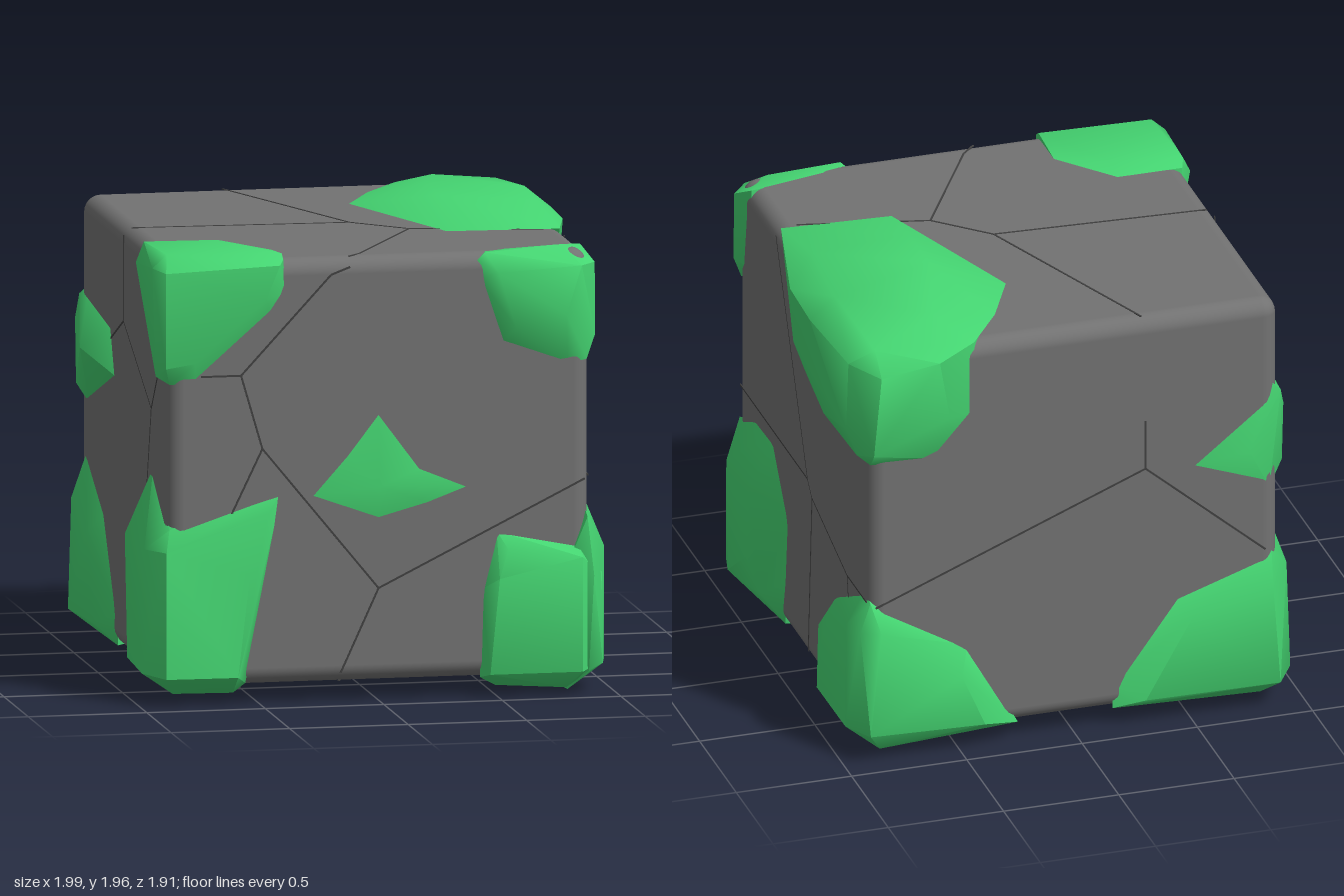
import * as THREE from 'three';
import { toCreasedNormals } from 'three/addons/utils/BufferGeometryUtils.js';
import { RoundedBoxGeometry } from 'three/addons/geometries/RoundedBoxGeometry.js';
import { ConvexGeometry } from 'three/addons/geometries/ConvexGeometry.js';

const stone = new THREE.MeshStandardMaterial({ color: 0x727272 });
stone.name = 'grey stone';
const moss = new THREE.MeshStandardMaterial({ color: 0x45d672 });
moss.name = 'green moss';
const dark = new THREE.MeshStandardMaterial({ color: 0x404040 });
dark.name = 'dark crack';

const SIZE = 1.78, HALF = SIZE / 2, MID = 0.97;

function addMesh(parent, name, geometry, material) {
  const mesh = new THREE.Mesh(geometry, material);
  mesh.name = name;
  parent.add(mesh);
  return mesh;
}

// A moss clump is a convex lump whose rim sinks just below the stone surface
function clump(parent, name, points) {
  const hull = new ConvexGeometry(points.map((p) => new THREE.Vector3(...p)));
  addMesh(parent, name, toCreasedNormals(hull, 0.9), moss);
}

// Cracks: thin strips along polylines, drawn in the plane of one cube face
function cracks(parent, name, rx, ry, lines) {
  const face = new THREE.Group();
  face.name = name;
  face.position.y = MID;
  face.rotation.set(rx, ry, 0);
  for (const line of lines) {
    for (let i = 1; i < line.length; i++) {
      const [ax, ay] = line[i - 1], [bx, by] = line[i];
      const strip = addMesh(face, 'crack',
        new THREE.BoxGeometry(Math.hypot(bx - ax, by - ay), 0.008, 0.004), dark);
      strip.position.set((ax + bx) / 2, (ay + by) / 2, HALF);
      strip.rotation.z = Math.atan2(by - ay, bx - ax);
    }
  }
  parent.add(face);
}

// Low pointed moss patch: a fan from a raised centre to the rim
function mossFan(parent, name, rim, centre) {
  const positions = [];
  rim.forEach((p, i) => {
    const q = rim[(i + 1) % rim.length];
    positions.push(...centre, ...p, 0.885, ...q, 0.885);
  });
  const g = new THREE.BufferGeometry();
  g.setAttribute('position', new THREE.Float32BufferAttribute(positions, 3));
  addMesh(parent, name, toCreasedNormals(g, 0.9), moss);
}

export function createModel() {
  const model = new THREE.Group();
  model.name = 'mossyStoneBlock';

  const block = addMesh(model, 'stoneBlock', new RoundedBoxGeometry(SIZE, SIZE, SIZE, 4, 0.07), stone);
  block.position.y = MID;

  // Cracks on every face
  const q = Math.PI / 2;
  cracks(model, 'frontCracks', 0, 0, [
    [[0.87, -0.07], [0, -0.5], [-0.16, -0.85]],
    [[0, -0.5], [-0.49, 0.1], [-0.58, 0.41], [-0.75, 0.41]],
    [[-0.58, 0.41], [-0.2, 0.82], [-0.12, 0.85]],
    [[-0.49, 0.1], [-0.62, -0.17]]]);
  cracks(model, 'leftCracks', 0, q, [
    [[-0.86, -0.06], [0.06, -0.06], [-0.37, 0.86]],
    [[0.06, -0.06], [0.12, -0.12], [0.07, -0.85]],
    [[0.12, -0.12], [0.6, -0.25], [0.86, -0.25]],
    [[0.6, -0.25], [0.62, -0.37]]]);
  cracks(model, 'rightCracks', 0, -q, [
    [[-0.01, 0.86], [-0.01, 0.5], [0.56, 0.23], [0.8, 0.52]],
    [[-0.01, 0.5], [-0.42, 0.32]],
    [[0.56, 0.23], [0.46, -0.14]]]);
  cracks(model, 'backCracks', 0, 2 * q, [
    [[-0.86, -0.27], [0.31, 0.2], [0.83, -0.25]],
    [[0.31, 0.2], [0.31, 0.42]]]);
  cracks(model, 'topCracks', -q, 0, [
    [[-0.86, 0], [0.05, -0.05], [-0.3, 0.86]],
    [[0.05, -0.05], [0.26, -0.25], [-0.06, -0.8], [-0.12, -0.86]],
    [[0.26, -0.25], [0.8, -0.38]]]);
  cracks(model, 'bottomCracks', q, 0, [
    [[-0.16, 0.85], [0.1, 0.1], [0.86, 0.07]],
    [[0.1, 0.1], [-0.3, -0.3], [-0.86, -0.1]]]);

  // Top corners
  clump(model, 'topFrontRightMoss', [
    [-0.4, 1.86, 0.88], [-0.39, 1.72, 0.88], [-0.45, 1.63, 0.88], [-0.77, 1.35, 0.88], [-0.88, 1.35, 0.88],
    [-0.42, 1.84, 0.915], [-0.48, 1.7, 0.92], [-0.78, 1.44, 0.92], [-0.9, 1.42, 0.91], [-0.9, 1.82, 0.91],
    [-0.93, 1.38, 0.84], [-0.94, 1.83, 0.82], [-0.94, 1.8, 0.48], [-0.88, 1.6, 0.42],
    [-0.4, 1.88, 0.85], [-0.4, 1.86, 0.64], [-0.6, 1.86, 0.4], [-0.88, 1.86, 0.4],
    [-0.6, 1.885, 0.5], [-0.9, 1.88, 0.45], [-0.88, 1.885, 0.82]]);
  clump(model, 'topBackLeftMoss', [
    [0.43, 1.86, -0.88], [0.27, 1.86, -0.66], [0.14, 1.86, -0.4], [0.33, 1.86, -0.03], [0.4, 1.86, 0.34],
    [0.87, 1.86, 0.37], [0.44, 1.95, -0.02], [0.44, 1.955, -0.3], [0.55, 1.92, -0.7], [0.85, 1.92, 0],
    [0.88, 1.91, -0.4], [0.85, 1.87, -0.85], [0.98, 1.82, -0.1], [0.99, 1.82, -0.4], [0.95, 1.8, -0.8],
    [0.6, 1.82, -0.95], [0.85, 1.78, -0.94],
    [0.88, 1.65, 0.25], [0.88, 1.37, 0], [0.88, 1.355, -0.4], [0.88, 1.36, -0.88],
    [0.95, 1.55, -0.05], [0.96, 1.5, -0.8], [0.93, 1.38, -0.4], [0.93, 1.4, -0.85], [0.88, 1.42, -0.93],
    [0.43, 1.54, -0.88], [0.6, 1.35, -0.88], [0.55, 1.55, -0.93]]);
  clump(model, 'topFrontLeftMoss', [
    [0.42, 1.83, 0.88], [0.43, 1.75, 0.88], [0.52, 1.48, 0.88], [0.8, 1.38, 0.88], [0.88, 1.4, 0.88],
    [0.45, 1.86, 0.88], [0.47, 1.855, 0.8], [0.88, 1.86, 0.74], [0.88, 1.8, 0.74], [0.88, 1.48, 0.79],
    [0.5, 1.78, 0.93], [0.57, 1.55, 0.95], [0.78, 1.6, 0.96], [0.85, 1.8, 0.93],
    [0.92, 1.8, 0.85], [0.92, 1.5, 0.86], [0.78, 1.875, 0.83]]);

  // Bottom corners; the front left one is two lumps with a notch between
  clump(model, 'bottomFrontLeftMossFront', [
    [0.43, 0.08, 0.88], [0.44, 0.45, 0.88], [0.5, 0.69, 0.88], [0.85, 0.62, 0.88],
    [0.46, 0.1, 0.95], [0.5, 0.5, 0.95], [0.54, 0.62, 0.93], [0.85, 0.58, 0.95], [0.85, 0.1, 0.95],
    [0.5, 0.04, 0.85], [0.8, 0.02, 0.85], [0.95, 0.5, 0.85], [0.95, 0.12, 0.85],
    [0.5, 0.08, 0.6], [0.9, 0.55, 0.7]]);
  clump(model, 'bottomFrontLeftMossSide', [
    [0.82, 0.6, 0.9], [0.88, 0.74, 0.9], [0.88, 0.85, 0.66], [0.88, 0.86, 0.4], [0.88, 0.6, 0.2],
    [0.88, 0.3, 0.23], [0.88, 0.08, 0.28], [0.97, 0.6, 0.8], [0.97, 0.62, 0.5], [0.98, 0.3, 0.5],
    [0.98, 0.12, 0.75], [0.9, 0.5, 0.94], [0.88, 0.1, 0.93], [0.95, 0.12, 0.87],
    [0.82, 0, 0.78], [0.8, 0.06, 0.3], [0.6, 0.08, 0.4], [0.93, 0.76, 0.6], [0.97, 0.2, 0.35]]);
  clump(model, 'bottomFrontRightMoss', [
    [-0.4, 0.9, 0.88], [-0.5, 0.56, 0.88], [-0.56, 0.09, 0.88], [-0.6, 0.12, 0.93], [-0.55, 0.55, 0.93],
    [-0.47, 0.8, 0.91], [-0.88, 0.74, 0.88], [-0.9, 0.65, 0.92], [-0.9, 0.12, 0.92],
    [-0.97, 0.65, 0.8], [-0.98, 0.13, 0.8], [-0.97, 0.65, 0.4], [-0.96, 0.13, 0.4],
    [-0.88, 0.95, 0.55], [-0.88, 0.7, 0.22], [-0.88, 0.08, 0.24],
    [-0.85, 0.04, 0.8], [-0.6, 0.04, 0.82], [-0.55, 0.08, 0.6], [-0.8, 0.08, 0.3]]);
  clump(model, 'bottomBackLeftMoss', [
    [0.88, 0.3, -0.17], [0.88, 0.08, -0.18], [0.88, 0.55, -0.42], [0.88, 0.74, -0.8], [0.88, 0.72, -0.88],
    [0.46, 0.47, -0.88], [0.24, 0.08, -0.88], [0.96, 0.12, -0.4], [0.96, 0.35, -0.45], [0.96, 0.6, -0.8],
    [0.97, 0.14, -0.82], [0.93, 0.6, -0.9], [0.9, 0.14, -0.95], [0.85, 0.6, -0.94],
    [0.5, 0.35, -0.94], [0.4, 0.12, -0.94], [0.83, 0.03, -0.85], [0.8, 0.04, -0.4],
    [0.4, 0.05, -0.83], [0.6, 0.07, -0.3], [0.25, 0.07, -0.75]]);
  clump(model, 'bottomBackRightMoss', [
    [-0.17, 0.08, -0.88], [-0.17, 0.19, -0.88], [-0.44, 0.56, -0.88], [-0.86, 0.7, -0.88], [-0.88, 0.8, -0.8],
    [-0.88, 0.6, -0.42], [-0.88, 0.22, -0.17], [-0.88, 0.08, -0.18], [-0.3, 0.12, -0.93], [-0.5, 0.48, -0.94],
    [-0.85, 0.55, -0.94], [-0.88, 0.12, -0.94], [-0.95, 0.6, -0.8], [-0.96, 0.13, -0.82],
    [-0.95, 0.5, -0.5], [-0.95, 0.15, -0.35], [-0.83, 0.03, -0.82], [-0.35, 0.06, -0.83], [-0.8, 0.06, -0.35]]);

  // Clump on the back right upright edge
  clump(model, 'backEdgeMoss', [
    [-0.86, 1.48, -0.87], [-0.9, 1.44, -0.88], [-0.47, 1.14, -0.88], [-0.85, 1.0, -0.88], [-0.88, 1.0, -0.78],
    [-0.88, 1.2, -0.19], [-1.0, 1.3, -0.38], [-0.88, 1.4, -0.28], [-0.93, 1.08, -0.8], [-0.93, 1.35, -0.82],
    [-0.75, 1.2, -0.93]]);

  // Pointed patch on the front, listed anticlockwise
  mossFan(model, 'frontMoss',
    [[0, 1.245], [-0.15, 1.05], [-0.32, 0.86], [0, 0.745], [0.24, 0.81], [0.43, 0.88], [0.2, 0.975]],
    [0, 0.9, 0.92]);

  return model;
}
